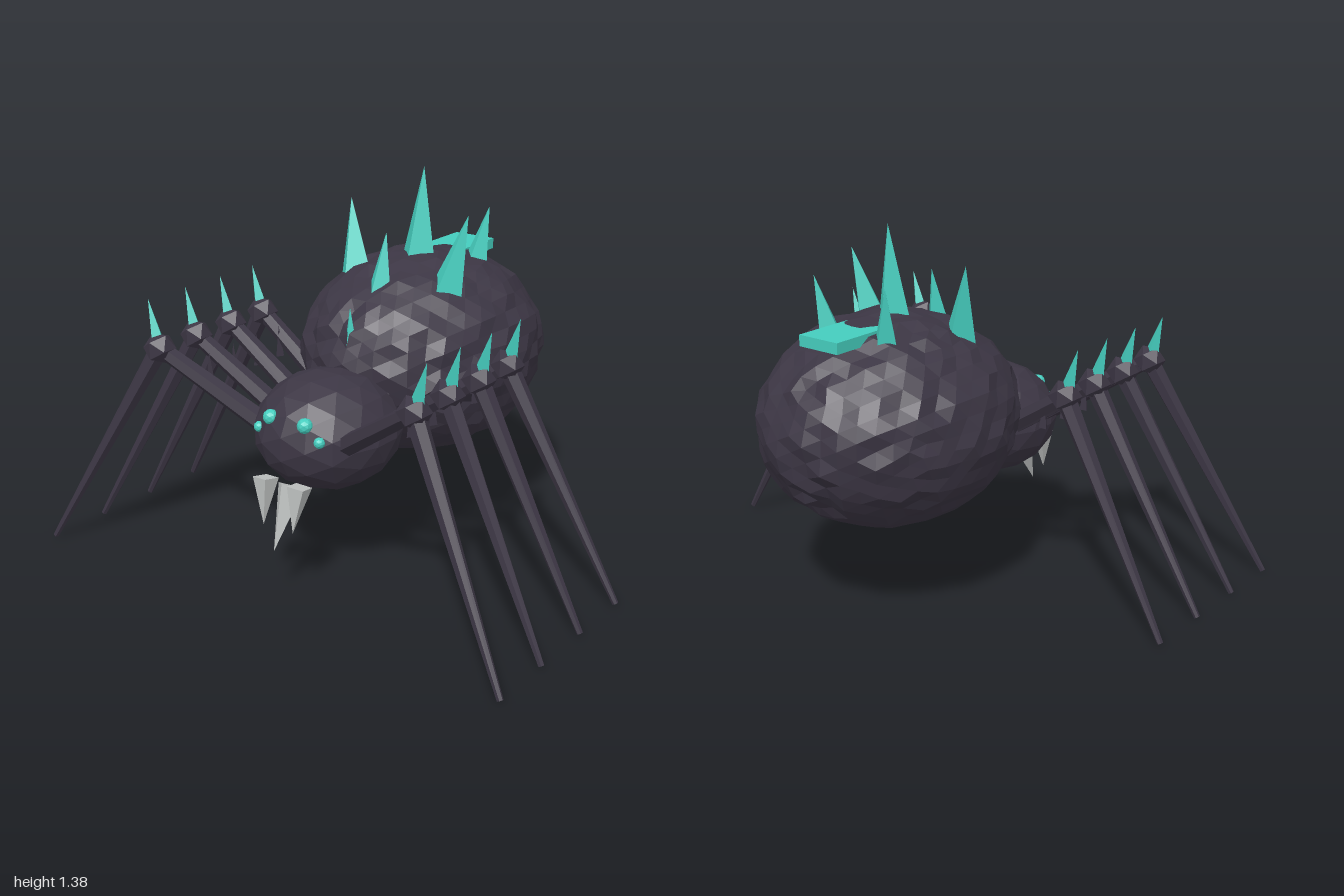
import * as THREE from 'three';
import { mergeVertices } from 'three/addons/utils/BufferGeometryUtils.js';

const flat = (name, color) => {
  const m = new THREE.MeshStandardMaterial({ color, flatShading: true });
  m.name = name;
  return m;
};

export function createModel() {
  const model = new THREE.Group();
  model.name = 'spider';
  const shell = flat('dark shell', 0x3c3644);
  const crystal = flat('teal crystal', 0x45cdbe);
  const bone = flat('pale bone', 0xbfc2c1);
  const v = (x, y, z) => new THREE.Vector3(x, y, z);

  function add(name, geometry, material, x = 0, y = 0, z = 0) {
    const mesh = new THREE.Mesh(geometry, material);
    mesh.name = name;
    mesh.position.set(x, y, z);
    model.add(mesh);
    return mesh;
  }

  // Tapered rod or spike running from a to b
  function rod(name, a, b, ra, rb, sides, material, turn = 0) {
    const dir = b.clone().sub(a);
    const g = new THREE.CylinderGeometry(rb, ra, dir.length(), sides);
    g.rotateY(turn);
    const mid = a.clone().add(b).multiplyScalar(0.5);
    const mesh = add(name, g, material, mid.x, mid.y, mid.z);
    mesh.quaternion.setFromUnitVectors(v(0, 1, 0), dir.normalize());
  }

  // Faceted ball whose corners are nudged in and out
  function rockyBall(detail, rx, ry, rz, rough) {
    let g = new THREE.IcosahedronGeometry(1, detail);
    g.deleteAttribute('normal');
    g.deleteAttribute('uv');
    g = mergeVertices(g, 1e-4);
    let seed = 7;
    const random = () => (seed = (seed * 16807) % 2147483647) / 2147483647;
    const p = g.attributes.position;
    for (let i = 0; i < p.count; i++) {
      const s = 1 + (random() - 0.5) * rough;
      p.setXYZ(i, p.getX(i) * rx * s, p.getY(i) * ry * s, p.getZ(i) * rz * s);
    }
    g = g.toNonIndexed();
    g.computeVertexNormals();
    return g;
  }

  // Body
  add('abdomen', rockyBall(7, 0.435, 0.377, 0.505, 0.055), shell, 0, 0.693, -0.262);
  add('head', rockyBall(2, 0.262, 0.212, 0.272, 0.015), shell, 0, 0.54, 0.325);

  // Crystals on the back
  add('crystalSlab', new THREE.BoxGeometry(0.17, 0.04, 0.38), crystal, 0, 1.03, -0.43);
  rod('tallSpike', v(0, 1.0, -0.225), v(0, 1.38, -0.262), 0.08, 0, 4, crystal);
  rod('frontSpike', v(0, 0.96, 0.02), v(0, 1.18, -0.025), 0.05, 0, 4, crystal);
  rod('neckSpike', v(0, 0.76, 0.19), v(0, 0.95, 0.195), 0.035, 0, 4, crystal);

  for (const s of [-1, 1]) {
    rod('sideSpike', v(s * 0.2, 0.96, -0.11), v(s * 0.26, 1.25, -0.162), 0.07, 0, 4, crystal);
    rod('rearSpike', v(s * 0.125, 0.98, -0.42), v(s * 0.16, 1.215, -0.465), 0.055, 0, 4, crystal);

    // Eyes
    add('innerEye', new THREE.IcosahedronGeometry(0.028, 1), crystal, s * 0.075, 0.632, 0.55);
    add('outerEye', new THREE.IcosahedronGeometry(0.02, 1), crystal, s * 0.132, 0.582, 0.545);

    // Side fangs
    rod('sideFang', v(s * 0.075, 0.42, 0.585), v(s * 0.065, 0.255, 0.615), 0.045, 0, 4, bone);

    // Legs: root z, knee z and foot z from front to back
    const legs = [[0.46, 0.59, 0.755], [0.35, 0.4, 0.505], [0.225, 0.212, 0.25], [0.07, 0.028, -0.005]];
    legs.forEach(([rootZ, kneeZ, footZ], i) => {
      const knee = v(s * 0.55, 0.8, kneeZ);
      rod('upperLeg', v(s * 0.17, 0.55, rootZ), knee, 0.04, 0.03, 6, shell);
      rod('lowerLeg', knee, v(s * 0.99, 0.008, footZ), 0.036, 0.011, 6, shell);
      add('knee', new THREE.IcosahedronGeometry(0.06, 0), shell, knee.x, knee.y, knee.z);
      rod('kneeSpike', v(s * 0.558, 0.82, kneeZ), v(s * 0.597, 0.975, kneeZ), 0.029, 0, 4, crystal);

      // Small bristle beside each upper leg
      const z = 0.455 - i * 0.13;
      rod('bristle', v(s * 0.44, 0.65, z), v(s * 0.44, 0.77, z), 0.018, 0, 3, shell);
    });
  }

  // Middle fang
  rod('middleFang', v(0, 0.39, 0.54), v(0, 0.18, 0.64), 0.056, 0, 4, bone);

  return model;
}
